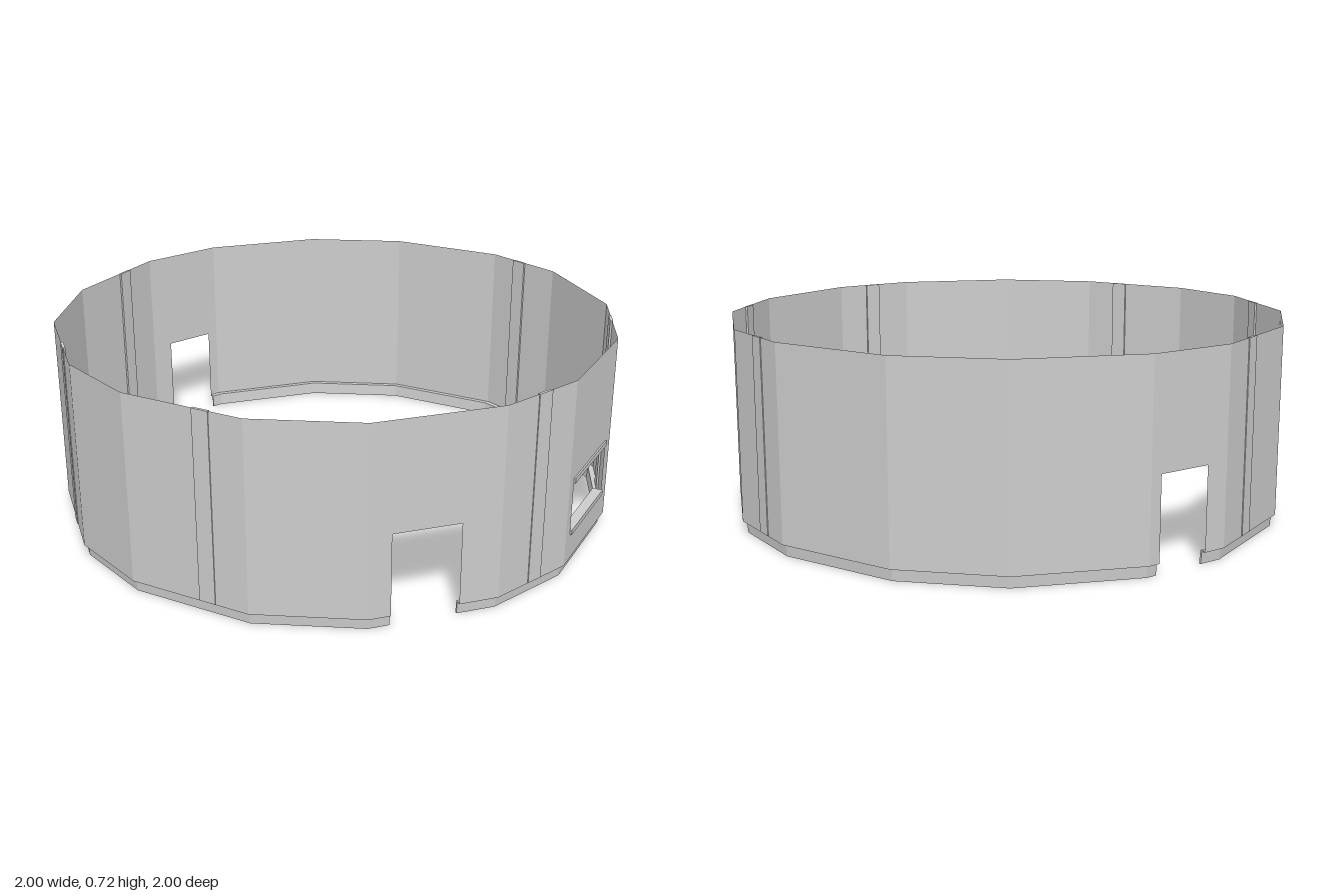
import * as THREE from 'three';

const TOP = 0.717, LEDGE = 0.045, DOOR_TOP = 0.335;

// Sixteen plan corners [x, z]: one quarter turned four times
const corners = [];
let quarter = [[-0.19, 0.998], [0.19, 0.998], [0.6, 0.826], [0.826, 0.6]];
for (let q = 0; q < 4; q++) {
  corners.push(...quarter);
  quarter = quarter.map(([x, z]) => [z, -x]);
}

// Openings and pilasters, as fractions along the numbered wall panels
const doors = { 1: [0.17, 0.695], 10: [0.13, 0.74] };
const windowPanel = 3, windowSpan = [0.1, 0.88], windowY = [0.14, 0.352];
const pilasters = { 2: 0.53, 4: 0.575, 6: 0.565, 11: 0.39, 13: 0.57, 15: 0.66 };

const along = (i, t) => {
  const a = corners[i % 16], b = corners[(i + 1) % 16];
  return [a[0] + (b[0] - a[0]) * t, a[1] + (b[1] - a[1]) * t];
};

// Plinth: a small cross-section swept along a run of plan points
function plinthGeometry(run) {
  const section = [[1, 0.047], [0.98, 0.047], [0.976, 0], [0.983, 0], [0.986, 0.043], [1, 0.043]];
  const pos = [];
  const point = (p, s) => [p[0] * s[0], s[1], p[1] * s[0]];
  const n = section.length;
  for (let i = 0; i < run.length - 1; i++) {
    for (let j = 0; j < n; j++) {
      const s = section[j], t = section[(j + 1) % n];
      const a = point(run[i], s), b = point(run[i + 1], s);
      const c = point(run[i + 1], t), d = point(run[i], t);
      pos.push(...a, ...b, ...c, ...a, ...c, ...d);
    }
  }
  // End caps beside the doorways
  for (const p of [run[0], run[run.length - 1]]) {
    for (const [a, b, c] of [[0, 1, 4], [0, 4, 5], [1, 2, 3], [1, 3, 4]]) {
      pos.push(...point(p, section[a]), ...point(p, section[b]), ...point(p, section[c]));
    }
  }
  const g = new THREE.BufferGeometry();
  g.setAttribute('position', new THREE.Float32BufferAttribute(pos, 3));
  g.computeVertexNormals();
  return g;
}

export function createModel() {
  const model = new THREE.Group();
  model.name = 'ringWall';
  const grey = new THREE.MeshStandardMaterial({ color: 0xcccccc, side: THREE.DoubleSide });
  grey.name = 'light grey';

  const add = (parent, name, geometry, x = 0, y = 0, z = 0) => {
    const mesh = new THREE.Mesh(geometry, grey);
    mesh.name = name;
    mesh.position.set(x, y, z);
    parent.add(mesh);
  };

  for (let i = 0; i < 16; i++) {
    const a = corners[i], b = corners[(i + 1) % 16];
    const dx = b[0] - a[0], dz = b[1] - a[1], len = Math.hypot(dx, dz);

    // Panel frame: local x runs along the wall, local z points outward
    const panel = new THREE.Group();
    panel.name = 'wallPanel' + i;
    panel.position.set(a[0], 0, a[1]);
    panel.rotation.y = Math.atan2(-dz, dx);
    model.add(panel);

    // Wall sheet, notched at a doorway
    const shape = new THREE.Shape();
    shape.moveTo(0, LEDGE);
    if (doors[i]) {
      const [s, e] = doors[i].map((t) => t * len);
      shape.lineTo(s, LEDGE).lineTo(s, DOOR_TOP).lineTo(e, DOOR_TOP).lineTo(e, LEDGE);
    }
    shape.lineTo(len, LEDGE).lineTo(len, TOP).lineTo(0, TOP).closePath();

    // Window opening with a lintel and a sill
    if (i === windowPanel) {
      const [s, e] = windowSpan.map((t) => t * len), [lo, hi] = windowY;
      const hole = new THREE.Path();
      hole.moveTo(s, lo).lineTo(s, hi).lineTo(e, hi).lineTo(e, lo).closePath();
      shape.holes.push(hole);
      const bar = new THREE.BoxGeometry(e - s, 0.018, 0.036);
      add(panel, 'windowLintel', bar, (s + e) / 2, hi - 0.009, -0.012);
      add(panel, 'windowSill', bar, (s + e) / 2, lo + 0.009, -0.012);
    }
    add(panel, 'wall', new THREE.ShapeGeometry(shape));

    // Slim upright strip showing on both faces
    if (pilasters[i]) {
      const strip = new THREE.BoxGeometry(0.06, TOP - LEDGE, 0.01);
      add(panel, 'pilaster', strip, pilasters[i] * len, (TOP + LEDGE) / 2, -0.002);
    }
  }

  // Inset plinth in two runs between the doorways
  for (const [from, to] of [[1, 10], [10, 17]]) {
    const run = [along(from, doors[from][1])];
    for (let i = from + 1; i <= to; i++) run.push(corners[i % 16]);
    run.push(along(to, doors[to % 16][0]));
    add(model, 'plinth', plinthGeometry(run));
  }
  return model;
}
